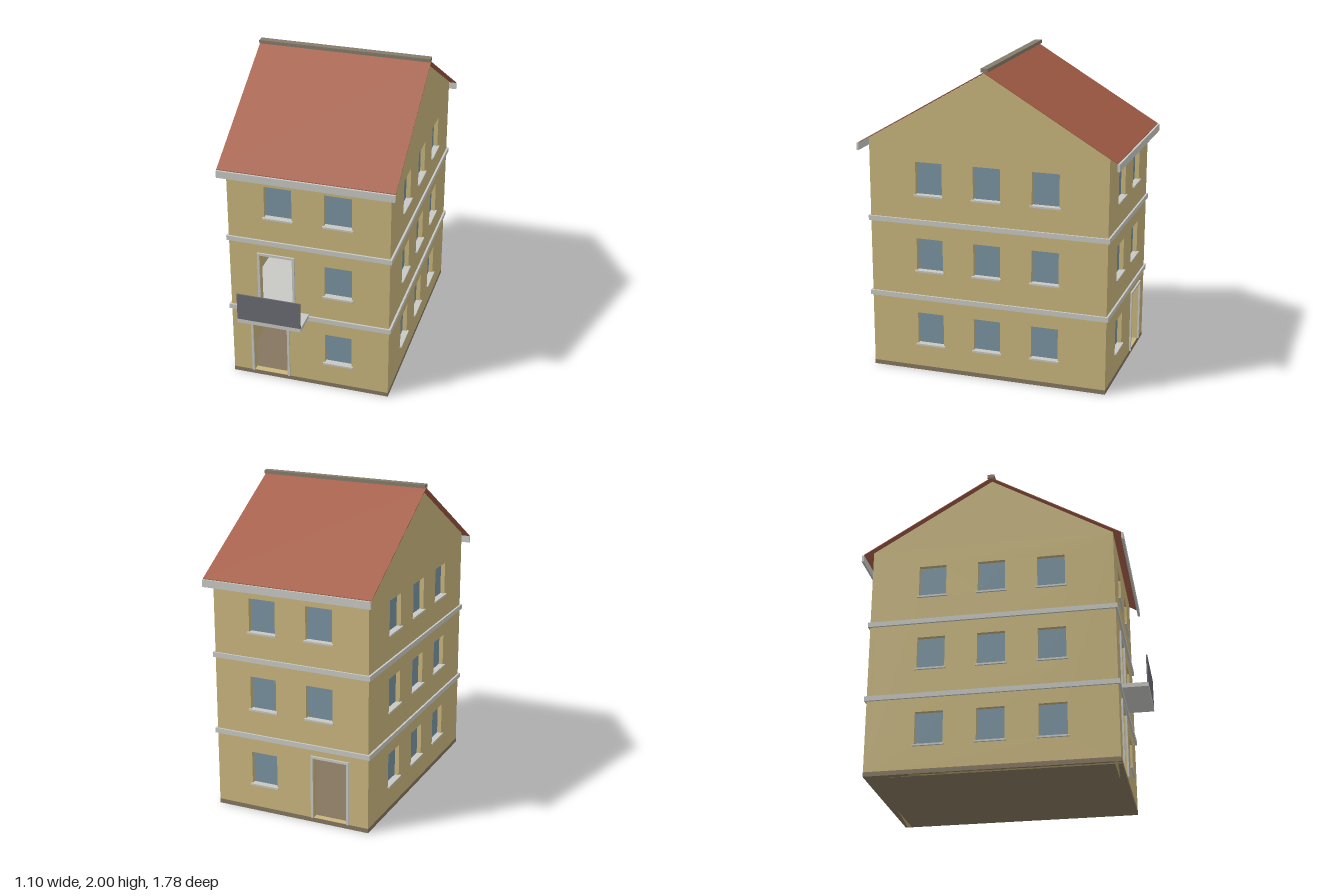
import * as THREE from 'three';

const mat = (name, color) => {
  const m = new THREE.MeshStandardMaterial({ color });
  m.name = name;
  return m;
};

export function createModel() {
  const wallMat = mat('ochre plaster', 0xc9b67d);
  const trimMat = mat('light stone', 0xc8c8c3);
  const roofMat = mat('red tile', 0xa65f48);
  const glassMat = mat('window glass', 0x7993a1);
  const railMat = mat('dark railing', 0x6a6c73);
  const baseMat = mat('brown floor', 0x85765f);
  const ridgeMat = mat('ridge grey', 0x857c6c);

  const house = new THREE.Group();
  house.name = 'house';

  // Main dimensions
  const X = 0.512, ZF = 0.72, ZB = -0.82, ZM = -0.05, HALF = 0.77;
  const EAVE = 1.515, PEAK = 1.97, T = 0.04;

  // Box given by its lower and upper limits on each axis
  const box = (name, m, [x0, x1], [y0, y1], [z0, z1], parent = house) => {
    const mesh = new THREE.Mesh(new THREE.BoxGeometry(x1 - x0, y1 - y0, z1 - z0), m);
    mesh.position.set((x0 + x1) / 2, (y0 + y1) / 2, (z0 + z1) / 2);
    mesh.name = name;
    parent.add(mesh);
    return mesh;
  };

  const polygon = (points, Type = THREE.Shape) =>
    new Type(points.map(([x, y]) => new THREE.Vector2(x, y)));
  const rect = (u0, u1, v0, v1) => [[u0, v0], [u1, v0], [u1, v1], [u0, v1]];

  // A wall with its openings, drawn in its own plane; the outer face is local z = 0
  function facade(name, outline, windows, doors) {
    const group = new THREE.Group();
    group.name = name;
    const shape = polygon(outline);

    for (const [u, y] of windows) {
      const u0 = u - 0.087, u1 = u + 0.087, y1 = y + 0.212;
      shape.holes.push(polygon(rect(u0, u1, y, y1).reverse(), THREE.Path));
      box('windowGlass', glassMat, [u0, u1], [y, y1], [-0.034, -0.028], group);
      box('windowSill', trimMat, [u0 - 0.01, u1 + 0.01], [y - 0.008, y + 0.003], [-0.028, 0.013], group);
    }

    for (const [u0, u1, y0, y1] of doors) {
      const f = 0.015;
      shape.holes.push(polygon(rect(u0, u1, y0, y1).reverse(), THREE.Path));
      // Frame around the sides and top of the opening
      const frame = polygon([
        [u0 - f, y0], [u0, y0], [u0, y1], [u1, y1],
        [u1, y0], [u1 + f, y0], [u1 + f, y1 + f], [u0 - f, y1 + f],
      ]);
      const mesh = new THREE.Mesh(
        new THREE.ExtrudeGeometry(frame, { depth: 0.011, bevelEnabled: false }), trimMat);
      mesh.name = 'doorFrame';
      group.add(mesh);
    }

    const geo = new THREE.ExtrudeGeometry(shape, { depth: T, bevelEnabled: false });
    geo.translate(0, 0, -T);
    const wall = new THREE.Mesh(geo, wallMat);
    wall.name = 'wall';
    group.add(wall);
    house.add(group);
    return group;
  }

  // Window sill heights on each storey
  const storeys = [0.18, 0.677, 1.173];
  const A = 0.187, B = -0.19;
  const flat = rect(-X, X, 0, EAVE);
  const gable = [[-HALF, 0], [HALF, 0], [HALF, EAVE], [0, PEAK], [-HALF, EAVE]];

  // Front wall with entrance and balcony door
  const front = facade('frontWall', flat,
    [...storeys.map((y) => [A, y]), [B, storeys[2]]],
    [[-0.372, -0.148, 0.03, 0.427], [-0.315, -0.105, 0.515, 0.905]]);
  front.position.z = ZF;

  // Back wall, turned round so that its own x is mirrored
  const back = facade('backWall', flat,
    [...storeys.map((y) => [-A, y]), [-B, storeys[1]], [-B, storeys[2]]],
    [[0.148, 0.372, 0.03, 0.427]]);
  back.rotation.y = Math.PI;
  back.position.z = ZB;

  // Gable walls, three windows on every storey
  for (const side of [1, -1]) {
    const windows = [];
    for (const y of storeys)
      for (const z of [0.327, -0.05, -0.427]) windows.push([-side * (z - ZM), y]);
    const g = facade(side > 0 ? 'leftGableWall' : 'rightGableWall', gable, windows, []);
    g.rotation.y = side * Math.PI / 2;
    g.position.set(side * X, 0, ZM);
  }

  // Ground slab and the two storey slabs that show as bands
  const e = 0.001;
  box('groundSlab', baseMat, [-X - e, X + e], [0, 0.028], [ZB - e, ZF + e]);
  for (const y of [0.483, 0.983])
    box('storeyBand', trimMat, [-0.525, 0.525], [y, y + 0.031], [ZB - 0.012, ZF + 0.012]);

  // Balcony with a single front railing
  box('balconySlab', trimMat, [-0.412, -0.003], [0.5, 0.526], [ZF, 0.89]);
  box('balconyRailing', railMat, [-0.412, -0.003], [0.526, 0.706], [0.882, 0.89]);

  // Thin roof over both slopes, reaching past the walls
  const slope = (PEAK - EAVE) / HALF, reach = 0.825, lift = 0.003, thick = 0.005;
  const low = PEAK - slope * reach + lift;
  const roofGeo = new THREE.ExtrudeGeometry(polygon([
    [-reach, low], [0, PEAK + lift], [reach, low],
    [reach, low + thick], [0, PEAK + lift + thick], [-reach, low + thick],
  ]), { depth: 1.1, bevelEnabled: false });
  roofGeo.translate(0, 0, -0.55);
  const roof = new THREE.Mesh(roofGeo, roofMat);
  roof.name = 'roof';
  roof.rotation.y = Math.PI / 2;
  roof.position.z = ZM;
  house.add(roof);

  // Ridge cap and eaves boards
  box('ridgeCap', ridgeMat, [-0.55, 0.55], [1.978, 2], [-0.075, -0.03]);
  for (const s of [1, -1]) {
    const z = ZM + s * 0.831;
    box('eavesBoard', trimMat, [-0.55, 0.55], [1.44, 1.486], [z - 0.007, z + 0.007]);
  }

  return house;
}
